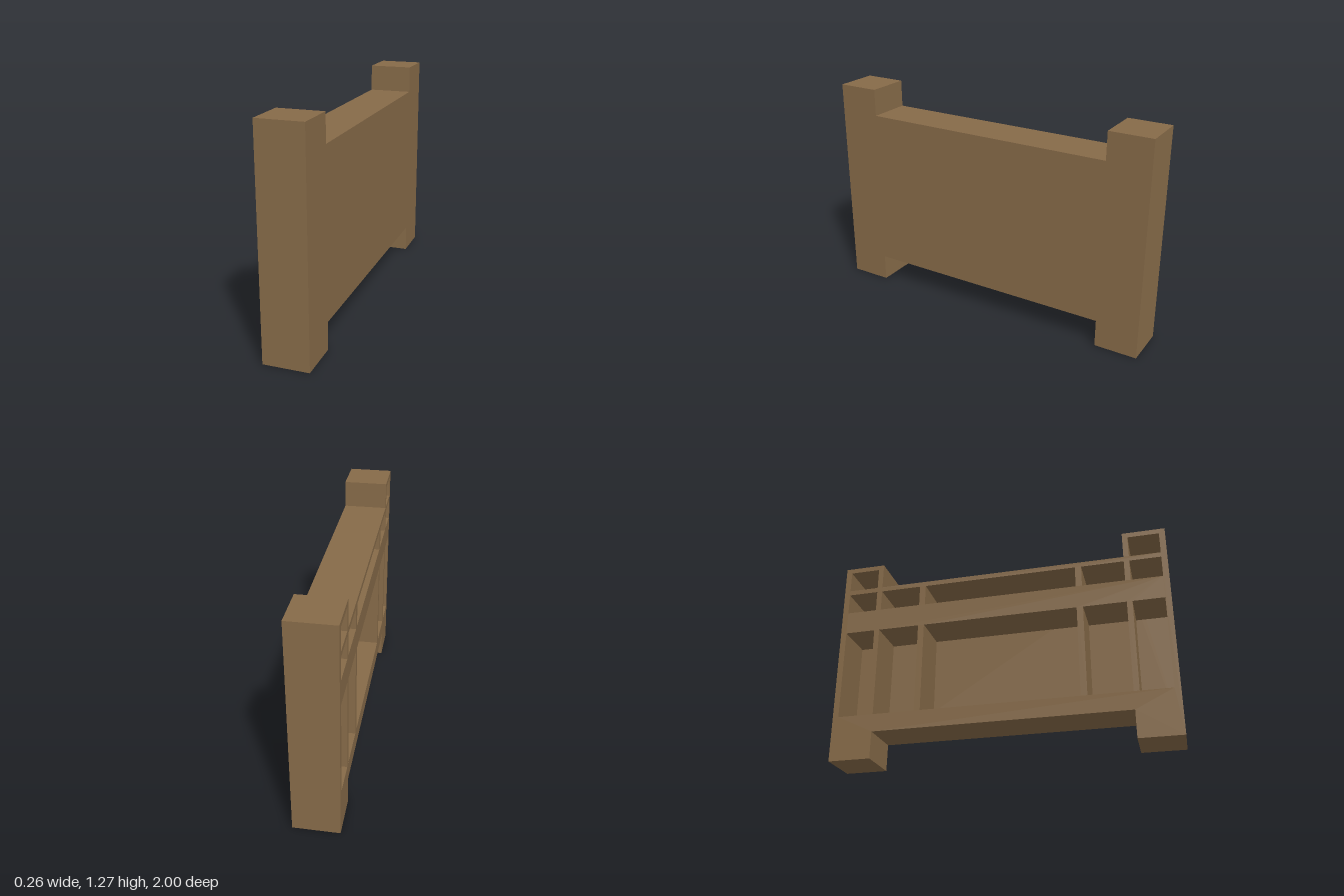
import * as THREE from 'three';

const HALF_WIDTH = 0.13, BACKING = 0.014;
const POST = 0.75, LOW = 0.16, HIGH = 1.11, TOP = 1.27;

// H-shaped side outline: two tall end posts joined by a raised body
function outline() {
  return new THREE.Shape([
    [-1, 0], [-POST, 0], [-POST, LOW], [POST, LOW], [POST, 0], [1, 0],
    [1, TOP], [POST, TOP], [POST, HIGH], [-POST, HIGH], [-POST, TOP], [-1, TOP],
  ].map(([z, y]) => new THREE.Vector2(z, y)));
}

// Rectangular cell cut through the frame
function cell(z0, z1, y0, y1) {
  return new THREE.Path([
    new THREE.Vector2(z0, y0), new THREE.Vector2(z0, y1),
    new THREE.Vector2(z1, y1), new THREE.Vector2(z1, y0),
  ]);
}

// Extrudes a side shape from x = xStart towards -x
function slab(name, shape, xStart, depth, material) {
  const geometry = new THREE.ExtrudeGeometry(shape, { depth, bevelEnabled: false });
  geometry.rotateY(-Math.PI / 2);
  geometry.translate(xStart, 0, 0);
  const mesh = new THREE.Mesh(geometry, material);
  mesh.name = name;
  return mesh;
}

export function createModel() {
  const group = new THREE.Group();
  group.name = 'shelfUnit';
  const wood = new THREE.MeshStandardMaterial({ color: 0x866a48 });

  // Compartments: two rows across all columns, plus one in each post top
  const frame = outline();
  const columns = [[-0.965, -0.782], [-0.75, -0.5], [-0.463, 0.463], [0.5, 0.75], [0.782, 0.965]];
  const rows = [[0.266, 0.813], [0.952, 1.08]];
  for (const [z0, z1] of columns) {
    for (const [y0, y1] of rows) frame.holes.push(cell(z0, z1, y0, y1));
  }
  for (const i of [0, 4]) frame.holes.push(cell(...columns[i], 1.11, 1.24));

  // Open frame on the -x side, thin closed panel on the +x side
  group.add(slab('compartmentFrame', frame, HALF_WIDTH - BACKING, 2 * HALF_WIDTH - BACKING, wood));
  group.add(slab('backPanel', outline(), HALF_WIDTH, BACKING, wood));
  return group;
}
